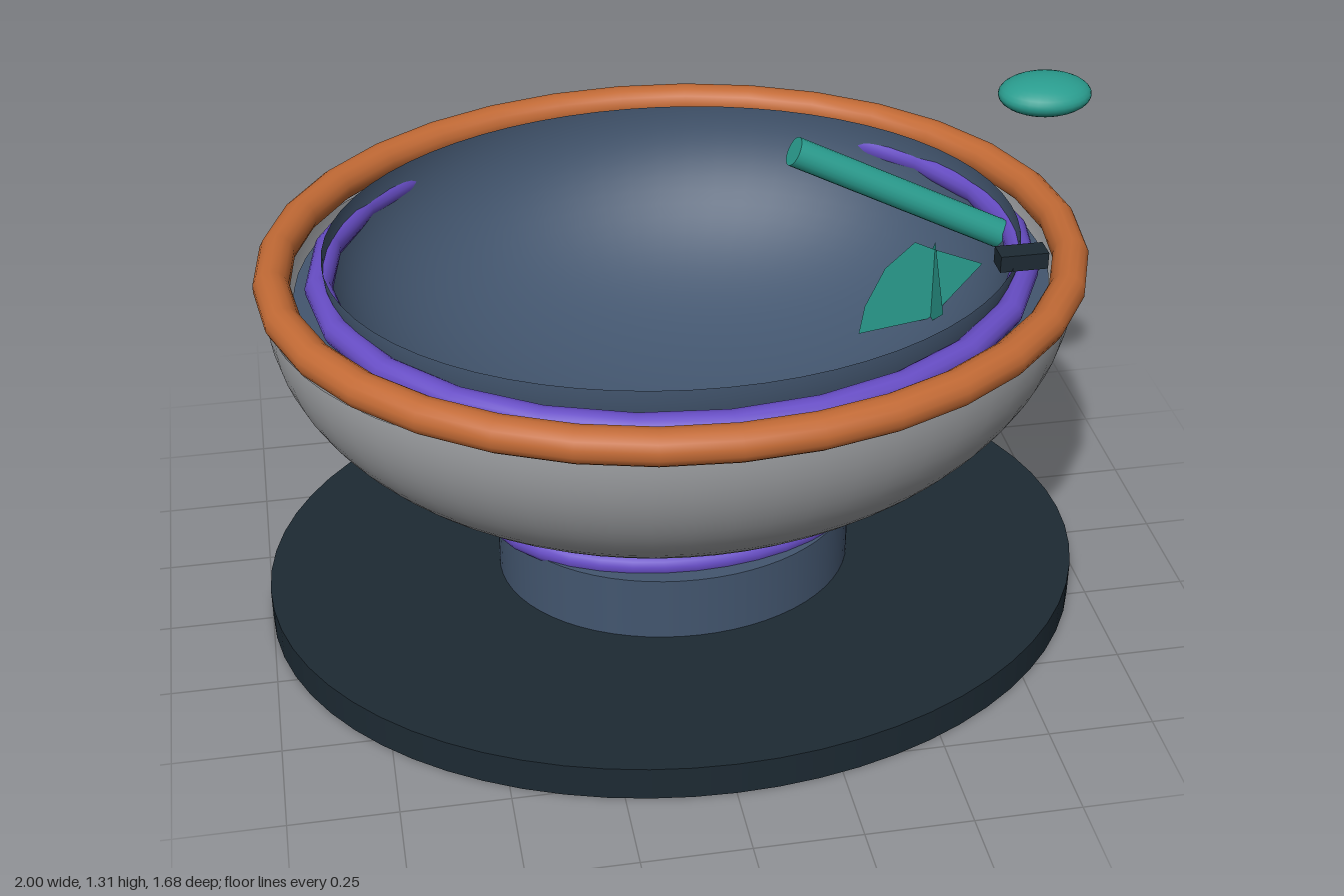
import * as THREE from 'three';

function mat(name, color, side = THREE.FrontSide) {
  const m = new THREE.MeshStandardMaterial({ color, side });
  m.name = name;
  return m;
}

export function createModel() {
  const group = new THREE.Group();
  const dark = mat('charcoal', 0x1d2a33);
  const slate = mat('slate blue', 0x43566f, THREE.DoubleSide);
  const grey = mat('stone grey', 0xa0a2a5, THREE.DoubleSide);
  const orange = mat('copper', 0xc26a35);
  const purple = mat('violet', 0x674dc5);
  const teal = mat('teal', 0x2a9d8f, THREE.DoubleSide);

  function add(name, geometry, material, x = 0, y = 0, z = 0) {
    const mesh = new THREE.Mesh(geometry, material);
    mesh.name = name;
    mesh.position.set(x, y, z);
    group.add(mesh);
    return mesh;
  }

  // Oval drum standing on y0
  const drum = (name, rx, rz, y0, y1, material) =>
    add(name, new THREE.CylinderGeometry(1, 1, y1 - y0, 64).scale(rx, 1, rz), material, 0, (y0 + y1) / 2, 0);

  // Oval ring with a round section
  function ovalRing(name, rx, rz, y, tube, segments, material) {
    const points = [];
    for (let i = 0; i < segments; i++) {
      const a = (i / segments) * Math.PI * 2;
      points.push(new THREE.Vector3(rx * Math.cos(a), 0, rz * Math.sin(a)));
    }
    const curve = new THREE.CatmullRomCurve3(points, true);
    return add(name, new THREE.TubeGeometry(curve, segments, tube, 14, true), material, 0, y, 0);
  }

  // Open lower half of an ellipsoid hanging from height y
  const halfShell = (name, rx, ry, rz, y, material) =>
    add(name, new THREE.SphereGeometry(1, 64, 24, 0, Math.PI * 2, Math.PI / 2, Math.PI / 2).scale(rx, ry, rz), material, 0, y, 0);

  // Stand
  drum('base', 1, 0.82, 0, 0.085, dark);
  drum('pedestal', 0.435, 0.355, 0.085, 0.25, slate);
  ovalRing('collar', 0.442, 0.292, 0.26, 0.03, 32, purple);

  // Bowl, inner dish and rims
  halfShell('bowl', 0.945, 0.59, 0.77, 0.878, grey);
  halfShell('dish', 0.81, 0.46, 0.662, 0.983, slate);
  add('innerLip', new THREE.RingGeometry(0.94, 1, 64).rotateX(-Math.PI / 2).scale(0.88, 1, 0.75), slate, 0, 0.881, 0);
  ovalRing('innerRing', 0.82, 0.704, 0.918, 0.032, 24, purple);
  ovalRing('rim', 0.926, 0.799, 0.935, 0.042, 32, orange);

  // Slanted arm
  const tip = new THREE.Vector3(0.28, 1.173, 0);
  const foot = new THREE.Vector3(0.785, 0.91, 0);
  const span = tip.clone().sub(foot);
  const arm = add('arm', new THREE.CylinderGeometry(0.035, 0.035, span.length(), 20), teal);
  arm.position.copy(tip).add(foot).multiplyScalar(0.5);
  arm.quaternion.setFromUnitVectors(new THREE.Vector3(0, 1, 0), span.normalize());

  // Floating cap and small block on the rim
  add('cap', new THREE.SphereGeometry(1, 32, 16).scale(0.109, 0.043, 0.088), teal, 0.868, 1.27, 0);
  add('block', new THREE.BoxGeometry(0.112, 0.04, 0.052), dark, 0.754, 0.994, 0.262);

  // Crossed blades under the arm, inside the dish
  const blade = (points) => new THREE.ShapeGeometry(new THREE.Shape(points.map(([x, y]) => new THREE.Vector2(x, y))));
  add('longBlade', blade([[-0.177, -0.115], [-0.165, -0.04], [-0.12, 0.06], [-0.05, 0.125], [0, 0.1], [0.12, 0.05], [0, -0.09]]), teal, 0.63, 0.78, 0);
  add('crossBlade', blade([[-0.1, -0.02], [0, 0.12], [0.1, -0.02], [0, -0.1]]).rotateY(Math.PI / 2), teal, 0.63, 0.78, 0);

  return group;
}
